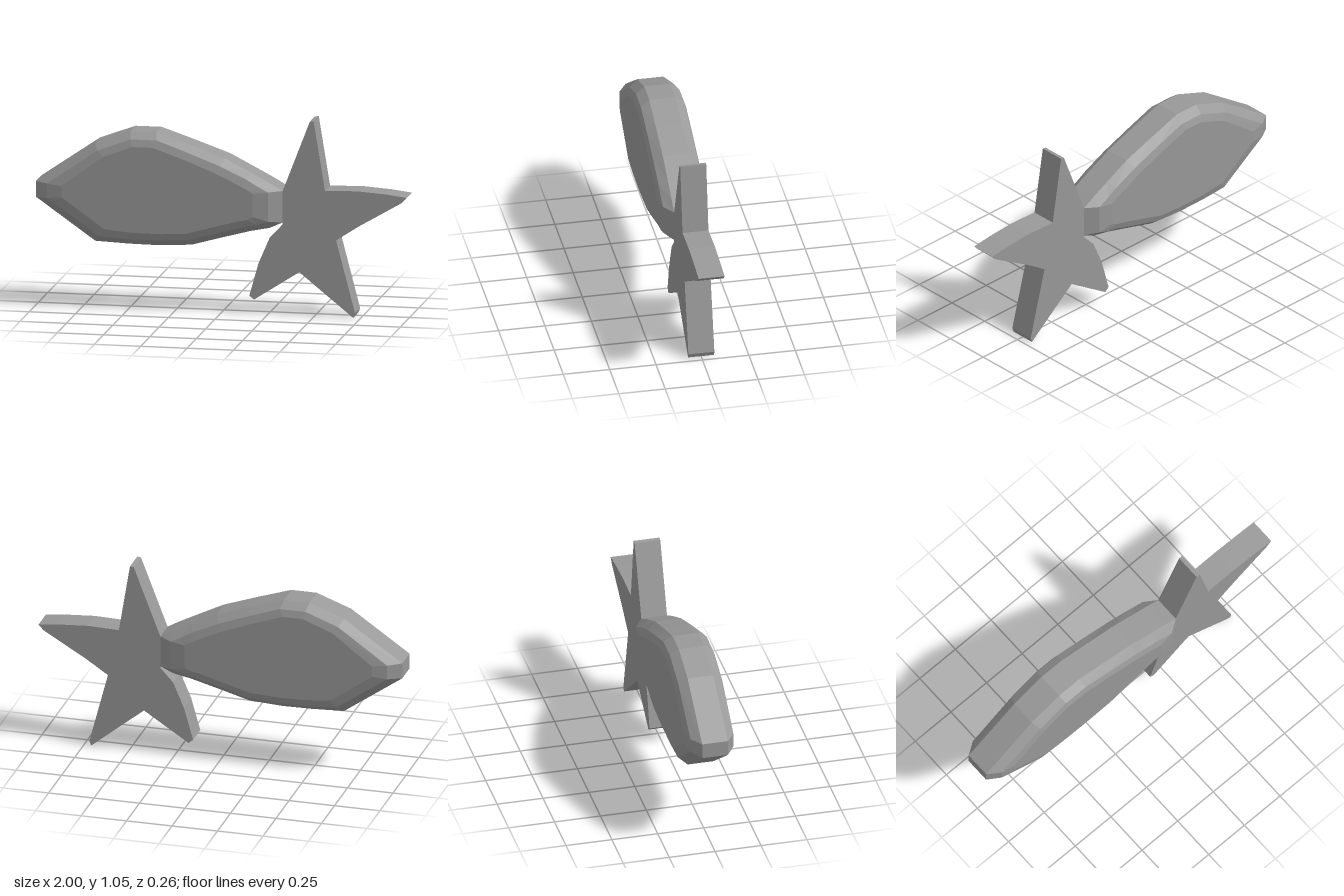
import * as THREE from 'three';

// Stacks matching outlines (counter-clockwise, back to front) and caps both ends.
function loftOutlines(layers) {
  const n = layers[0].outline.length;
  const positions = [];
  const index = [];
  for (const { outline, z } of layers) {
    for (const [x, y] of outline) positions.push(x, y, z);
  }
  for (let l = 0; l < layers.length - 1; l++) {
    for (let i = 0; i < n; i++) {
      const a = l * n + i, b = l * n + (i + 1) % n;
      index.push(a, b, b + n, a, b + n, a + n);
    }
  }
  const last = (layers.length - 1) * n;
  const cap = layers[layers.length - 1].outline.map(([x, y]) => new THREE.Vector2(x, y));
  for (const [a, b, c] of THREE.ShapeUtils.triangulateShape(cap, [])) {
    index.push(last + a, last + b, last + c, a, c, b);
  }
  const geometry = new THREE.BufferGeometry();
  geometry.setAttribute('position', new THREE.Float32BufferAttribute(positions, 3));
  geometry.setIndex(index);
  const flat = geometry.toNonIndexed();
  flat.computeVertexNormals();
  return flat;
}

export function createModel() {
  const group = new THREE.Group();
  const grey = new THREE.MeshStandardMaterial({ color: 0x999999, flatShading: true });
  grey.name = 'grey';

  // Body outlines: the rim, the bevel and the flat side, all from the nose along the belly
  const rim = [
    [-1, 0.67], [-1, 0.585], [-0.68, 0.36], [-0.5, 0.352], [-0.34, 0.35], [-0.16, 0.36],
    [0, 0.405], [0.16, 0.448], [0.26, 0.468], [0.33, 0.5], [0.33, 0.67], [0.26, 0.71],
    [0.16, 0.762], [0.02, 0.833], [-0.17, 0.9], [-0.35, 0.96], [-0.49, 0.96], [-0.68, 0.89],
  ];
  const bevel = [
    [-0.93, 0.668], [-0.93, 0.59], [-0.65, 0.395], [-0.5, 0.386], [-0.33, 0.385], [-0.17, 0.395],
    [-0.01, 0.438], [0.14, 0.48], [0.2, 0.49], [0.26, 0.51], [0.26, 0.668], [0.2, 0.7],
    [0.14, 0.735], [0, 0.8], [-0.18, 0.868], [-0.34, 0.925], [-0.48, 0.925], [-0.66, 0.858],
  ];
  const side = [
    [-0.85, 0.66], [-0.85, 0.6], [-0.62, 0.437], [-0.48, 0.424], [-0.32, 0.422], [-0.18, 0.43],
    [-0.02, 0.475], [0.1, 0.508], [0.15, 0.518], [0.18, 0.535], [0.18, 0.66], [0.15, 0.68],
    [0.1, 0.705], [-0.02, 0.762], [-0.2, 0.832], [-0.36, 0.887], [-0.47, 0.887], [-0.63, 0.825],
  ];
  const body = new THREE.Mesh(loftOutlines([
    { outline: side, z: -0.13 }, { outline: bevel, z: -0.117 }, { outline: rim, z: -0.07 },
    { outline: rim, z: 0.07 }, { outline: bevel, z: 0.117 }, { outline: side, z: 0.13 },
  ]), grey);
  body.name = 'body';
  group.add(body);

  // Star-shaped tail, a flat plate
  const star = [
    [0.476, 1.05], [0.33, 0.67], [0.33, 0.49], [0.26, 0.415], [0.2, 0.275], [0.15, 0.098],
    [0.175, 0.077], [0.42, 0.235], [0.71, 0], [0.72, 0.025], [0.618, 0.415], [0.74, 0.495],
    [0.97, 0.63], [1, 0.66], [0.89, 0.674], [0.73, 0.685], [0.558, 0.68], [0.497, 1.053],
  ];
  const tail = new THREE.Mesh(loftOutlines([
    { outline: star, z: -0.07 }, { outline: star, z: 0.07 },
  ]), grey);
  tail.name = 'starTail';
  group.add(tail);

  return group;
}
